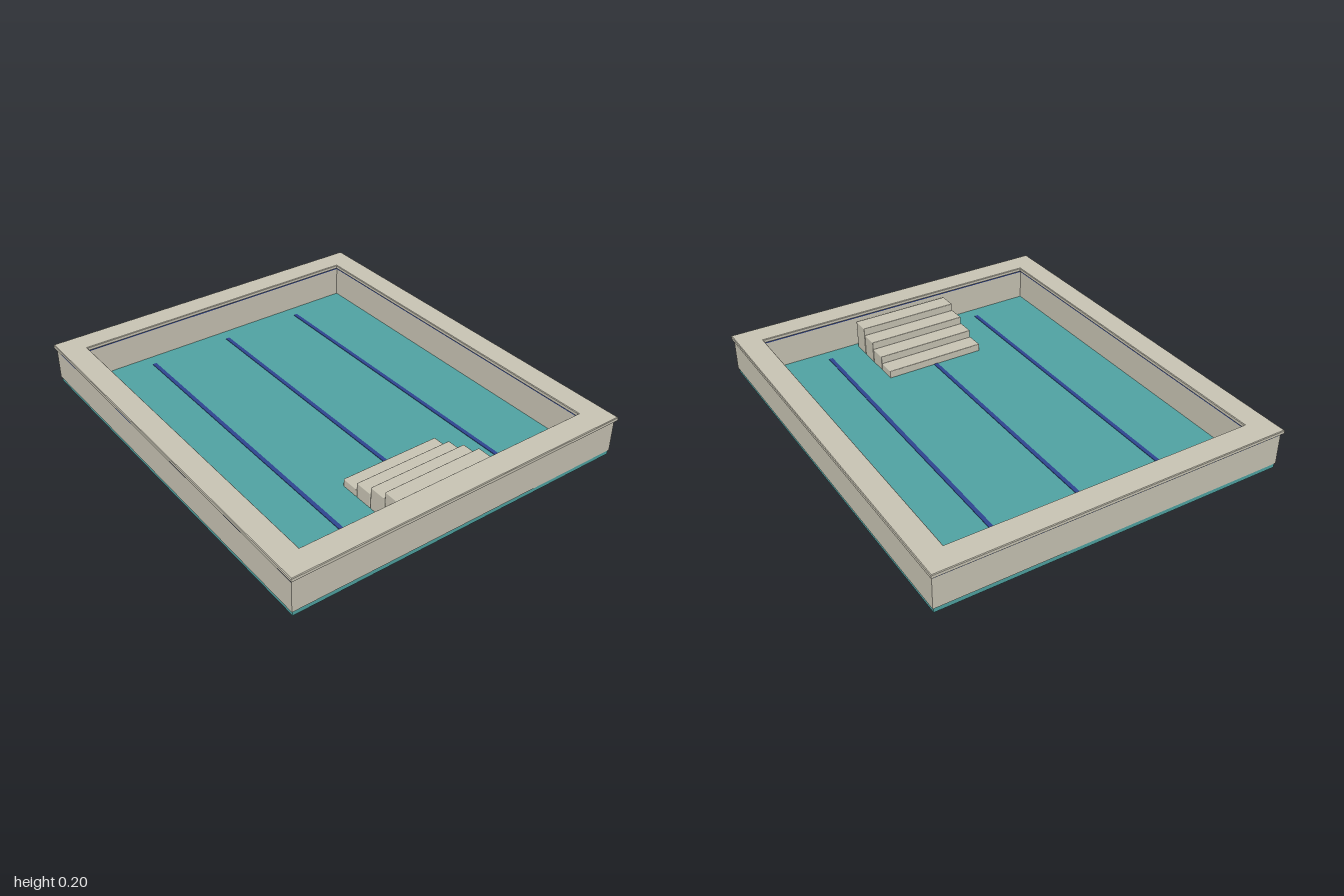
import * as THREE from 'three';
import { RoundedBoxGeometry } from 'three/addons/geometries/RoundedBoxGeometry.js';

const stone = new THREE.MeshStandardMaterial({ name: 'stone', color: 0xc8c4b4 });
const teal = new THREE.MeshStandardMaterial({ name: 'tealTile', color: 0x50a3a2 });
const blue = new THREE.MeshStandardMaterial({ name: 'blueTile', color: 0x2e4490 });

export function createModel() {
  const pool = new THREE.Group();
  pool.name = 'pool';

  function add(name, geometry, material, x = 0, y = 0, z = 0) {
    const mesh = new THREE.Mesh(geometry, material);
    mesh.name = name;
    mesh.position.set(x, y, z);
    pool.add(mesh);
  }

  // Rectangle path from half width and half length
  function rectangle(path, hx, hz) {
    path.moveTo(-hx, -hz);
    path.lineTo(hx, -hz);
    path.lineTo(hx, hz);
    path.lineTo(-hx, hz);
    path.closePath();
    return path;
  }

  // Rectangular frame between y0 and y1, with an optional softened edge
  function frame(outX, outZ, inX, inZ, y0, y1, bevel = 0) {
    const shape = rectangle(new THREE.Shape(), outX - bevel, outZ - bevel);
    shape.holes.push(rectangle(new THREE.Path(), inX + bevel, inZ + bevel));
    const geometry = new THREE.ExtrudeGeometry(shape, {
      depth: y1 - y0 - 2 * bevel,
      bevelEnabled: bevel > 0,
      bevelSize: bevel,
      bevelThickness: bevel,
      bevelSegments: 1,
    });
    geometry.rotateX(-Math.PI / 2);
    geometry.translate(0, y0 + bevel, 0);
    return geometry;
  }

  // Basin: floor slab, walls, tile band under the coping, and the coping
  add('floor', new THREE.BoxGeometry(1.69, 0.022, 1.97), teal, 0, 0.011, 0);
  add('walls', frame(0.85, 0.988, 0.75, 0.89, 0.022, 0.18), stone);
  add('tileBand', frame(0.852, 0.99, 0.748, 0.888, 0.172, 0.181), blue);
  add('coping', frame(0.858, 1, 0.74, 0.88, 0.18, 0.2, 0.003), stone);

  // Lane lines on the floor
  for (const x of [-0.425, 0, 0.425]) {
    add('laneLine', new THREE.BoxGeometry(0.02, 0.004, 1.645), blue, x, 0.023, 0);
  }

  // Entry steps rising toward the front wall
  const rise = 0.035;
  for (let i = 0; i < 4; i++) {
    const height = 0.04 + rise * i;
    add('step', new RoundedBoxGeometry(0.505, height, 0.088, 1, 0.004), stone,
      0, 0.02 + height / 2, 0.549 + i * 0.091);
  }

  return pool;
}
